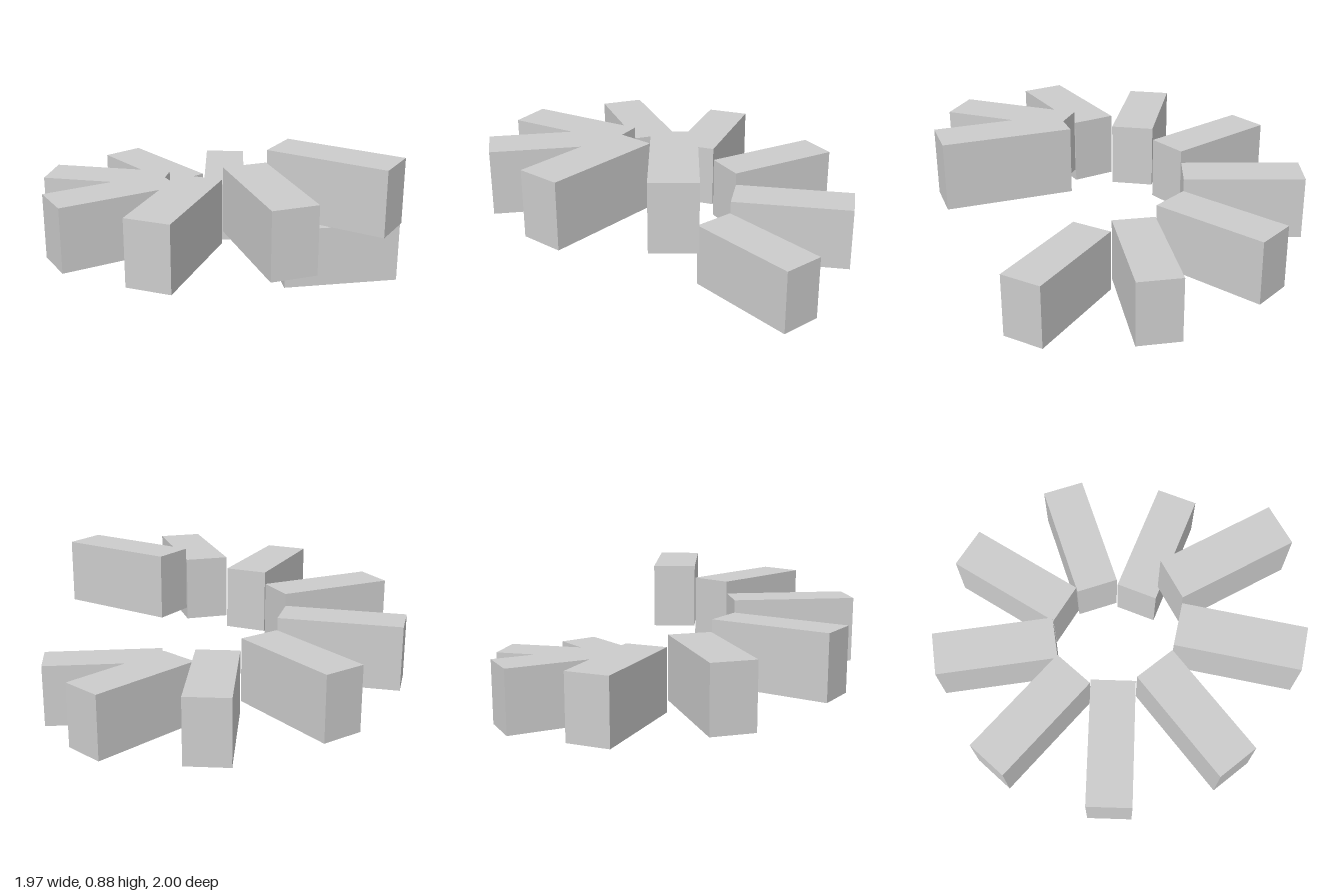
import * as THREE from 'three';

const STEPS = 9;
const INNER = 0.332, OUTER = 0.995; // radial reach of each step
const WIDTH = 0.236, HEIGHT = 0.352, RISE = 0.0665;

export function createModel() {
  const model = new THREE.Group();
  model.name = 'spiralStaircase';

  const stone = new THREE.MeshStandardMaterial({ color: 0xcccccc });
  stone.name = 'light grey';

  // One block, moved out from the stair axis
  const block = new THREE.BoxGeometry(OUTER - INNER, HEIGHT, WIDTH);
  block.translate((INNER + OUTER) / 2, HEIGHT / 2, 0);

  // Each step turns 40 degrees and climbs by the same rise
  for (let i = 0; i < STEPS; i++) {
    const step = new THREE.Mesh(block, stone);
    step.name = `step${i + 1}`;
    step.position.set(-0.01, i * RISE, 0);
    step.rotation.y = (i / STEPS) * Math.PI * 2;
    model.add(step);
  }
  return model;
}
